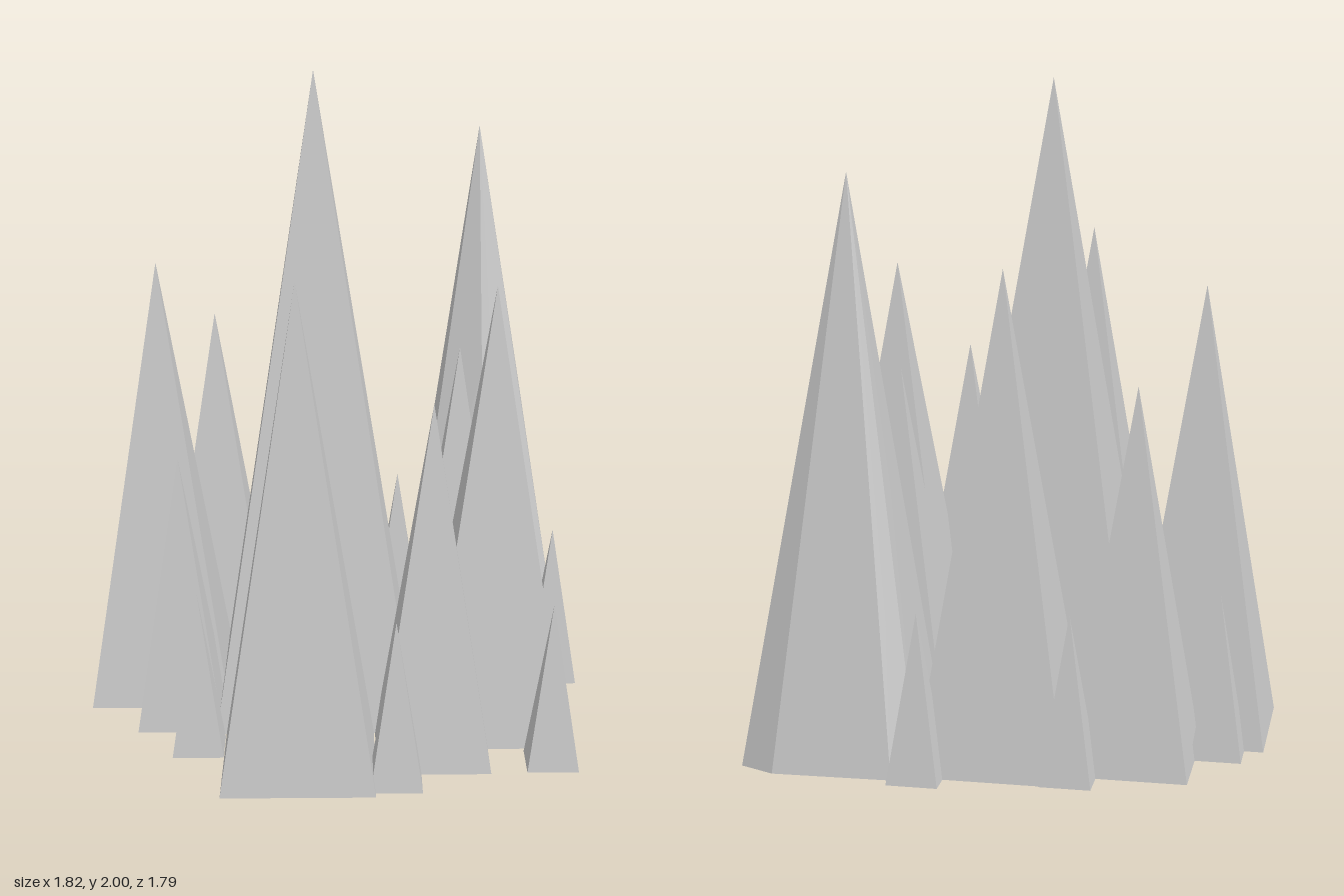
import * as THREE from 'three';
import { ConvexGeometry } from 'three/addons/geometries/ConvexGeometry.js';

const material = new THREE.MeshStandardMaterial({
  color: 0xcccccc, flatShading: true, side: THREE.DoubleSide,
});

// Four-sided spike, open underneath, corners on the x and z axes
function spike(name, x, z, radius, height) {
  const mesh = new THREE.Mesh(new THREE.ConeGeometry(radius, height, 4, 1, true), material);
  mesh.position.set(x, height / 2, z);
  mesh.name = name;
  return mesh;
}

// Irregular faceted shard: hull of its corners without the underside
function shard() {
  const base = [[0.24, -0.1], [0.5, -0.36], [0.61, -0.385], [0.87, -0.14],
    [0.91, -0.03], [0.64, 0.235], [0.45, 0.18]];
  const points = base.map(([x, z]) => new THREE.Vector3(x, 0, z));
  points.push(
    new THREE.Vector3(0.545, 1.75, -0.06), // tip
    new THREE.Vector3(0.47, 0.97, 0.03),
    new THREE.Vector3(0.695, 0.85, 0),
    new THREE.Vector3(0.57, 0.44, -0.3),
    new THREE.Vector3(0.47, 0.82, -0.17),
  );
  const hull = new ConvexGeometry(points).getAttribute('position').array;
  const open = [];
  for (let i = 0; i < hull.length; i += 9) {
    if (Math.max(hull[i + 1], hull[i + 4], hull[i + 7]) > 0.001) open.push(...hull.slice(i, i + 9));
  }
  const geometry = new THREE.BufferGeometry();
  geometry.setAttribute('position', new THREE.Float32BufferAttribute(open, 3));
  geometry.computeVertexNormals();
  const mesh = new THREE.Mesh(geometry, material);
  mesh.name = 'facetedShard';
  return mesh;
}

export function createModel() {
  const group = new THREE.Group();
  group.name = 'spikeCluster';

  // Large and medium spikes: x, z, radius, height
  const spikes = [
    ['mainSpike', -0.18, -0.08, 0.433, 2],
    ['rightSpike', -0.59, 0.26, 0.32, 1.48],
    ['backLeftSpike', 0.225, -0.4, 0.32, 1.48],
    ['backRightSpike', -0.45, -0.505, 0.305, 1.39],
    ['frontSpike', 0.055, 0.455, 0.305, 1.39],
    ['backSpike', -0.085, -0.645, 0.253, 1.14],
    ['leftSpike', 0.24, 0.14, 0.24, 1.11],
    ['frontRightSpike', -0.24, 0.475, 0.24, 1.09],
    ['sideSpike', -0.59, -0.26, 0.185, 0.84],
  ];
  for (const s of spikes) group.add(spike(...s));

  // Small spikes scattered around the rim
  const small = [[-0.715, -0.045], [-0.33, -0.74], [0.175, -0.67], [0.535, -0.41],
    [0.46, 0.35], [-0.475, 0.55], [-0.05, 0.785]];
  small.forEach(([x, z], i) => group.add(spike(`smallSpike${i + 1}`, x, z, 0.108, 0.5)));

  group.add(shard());
  return group;
}
